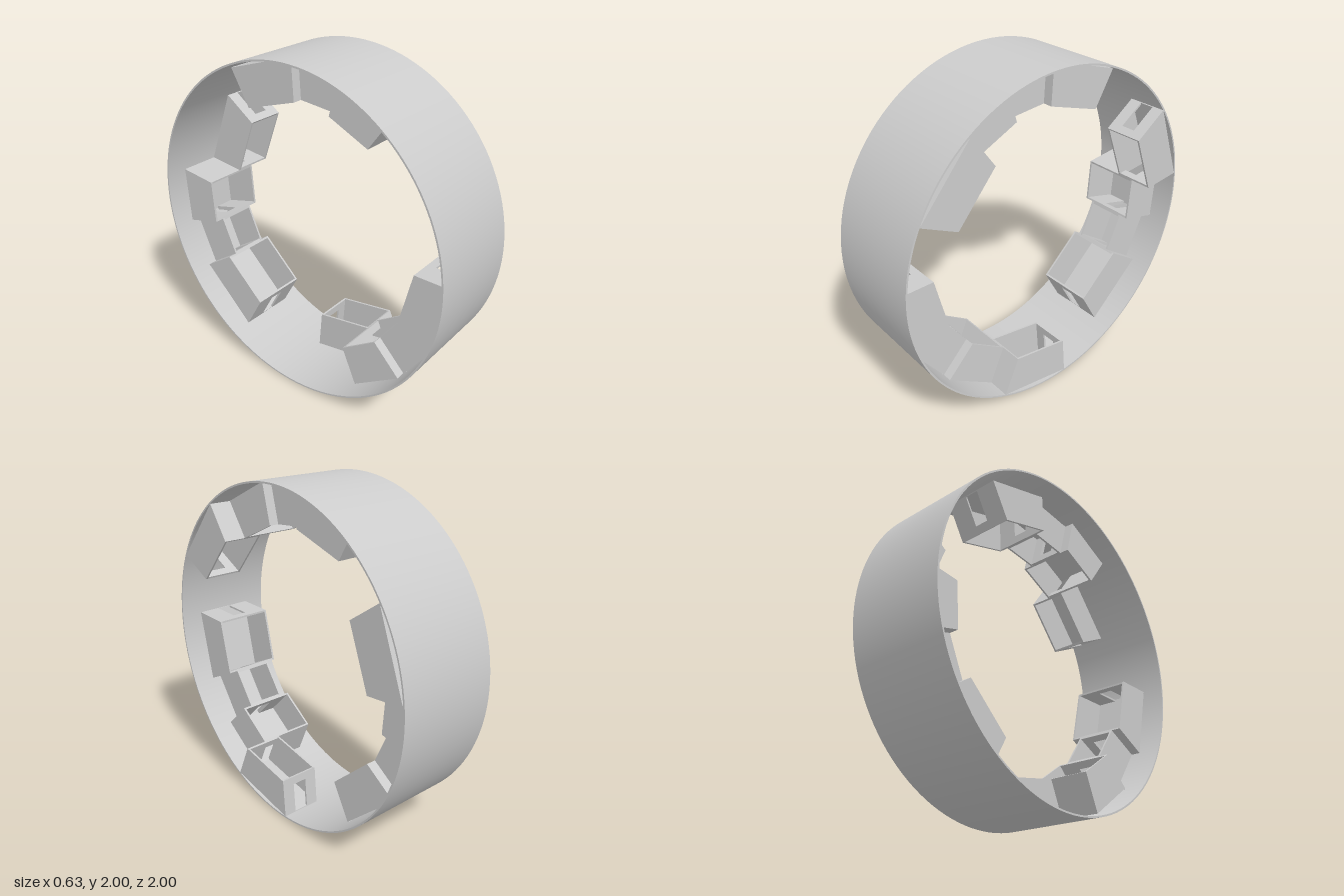
import * as THREE from 'three';
import { mergeGeometries } from 'three/addons/utils/BufferGeometryUtils.js';

const R = 0.99, INNER = 0.75, T = 0.012, HALF = 0.315;
const DOOR_W = 0.09, DOOR_H = 0.19;

// Cabin kinds: extent across the ring
const KINDS = { room: [-0.18, 0.18], corridor: [-0.122, 0.122], offset: [0.07, HALF] };

// Chains of cabins: boundary angles (degrees from +z towards +y) and kinds
const CHAINS = [
  { angles: [26.3, 54.4, 75.4, 93.5, 120.5], kinds: ['offset', 'room', 'corridor', 'room'] },
  { angles: [144.9, 173.9, 194.7, 213.4, 240.8], kinds: ['offset', 'room', 'corridor', 'room'] },
  { angles: [265.4, 293.7, 314.4, 333.3, 360], kinds: ['offset', 'room', 'corridor', 'room'] },
];

const material = new THREE.MeshStandardMaterial({ color: 0xcccccc, side: THREE.DoubleSide });

const poly = (pts) => new THREE.Shape(pts.map(([x, y]) => new THREE.Vector2(x, y)));
const extrude = (shape, depth) => new THREE.ExtrudeGeometry(shape, { depth, bevelEnabled: false });
const polar = (r, a) => [r * Math.cos(a), r * Math.sin(a)];

function part(name, geometry) {
  const mesh = new THREE.Mesh(geometry, material);
  mesh.name = name;
  return mesh;
}

// Trapezoid between two radial cuts, swept across the ring from x0 to x1
function sector(a0, a1, r0, r1, x0, x1) {
  const shape = poly([polar(r0, a0), polar(r1, a0), polar(r1, a1), polar(r0, a1)]);
  return extrude(shape, x1 - x0).translate(0, 0, -x1);
}

// Radial end wall with a doorway open to the floor
function endWall(angle, x0, x1, doorX, shift) {
  const d0 = -doorX - DOOR_W / 2, d1 = -doorX + DOOR_W / 2, top = R - DOOR_H;
  const geometry = extrude(poly([
    [-x1, INNER], [-x0, INNER], [-x0, R], [d1, R], [d1, top], [d0, top], [d0, R], [-x1, R],
  ]), T).translate(0, 0, shift);
  const c = Math.cos(angle), s = Math.sin(angle);
  return geometry.applyMatrix4(new THREE.Matrix4().makeBasis(
    new THREE.Vector3(0, 0, 1), new THREE.Vector3(c, s, 0), new THREE.Vector3(-s, c, 0)));
}

// Cabin without a ceiling: floor, two side walls, two end walls
function cabin(kind, a0, a1, door0, door1) {
  const [x0, x1] = KINDS[kind];
  const group = new THREE.Group();
  group.name = kind + 'Cabin';
  group.add(
    part('floor', sector(a0, a1, R - 0.006, R, x0, x1)),
    part('leftWall', sector(a0, a1, INNER, R, x1 - T, x1)),
    part('rightWall', sector(a0, a1, INNER, R, x0, x0 + T)),
    part('startWall', endWall(a0, x0, x1, door0, 0)),
    part('finishWall', endWall(a1, x0, x1, door1, -T)),
  );
  return group;
}

// Thin outer hull, one lathe per side so its edges stay sharp
function hull() {
  const corners = [[1, -HALF], [1, HALF], [R, HALF], [R, -HALF]].map(([r, y]) => new THREE.Vector2(r, y));
  const sides = corners.map((p, i) => new THREE.LatheGeometry([p, corners[(i + 1) % 4]], 128));
  return part('outerRing', mergeGeometries(sides).rotateZ(Math.PI / 2));
}

export function createModel() {
  const model = new THREE.Group();
  model.name = 'ringHabitat';
  const ring = hull();
  ring.position.y = 1;
  model.add(ring);

  const centre = (kind) => (KINDS[kind][0] + KINDS[kind][1]) / 2;
  // Doorway in the middle of the overlap of two neighbours
  const doorway = (a, b) => {
    if (!a || !b) return centre(a || b);
    const [p, q] = [KINDS[a], KINDS[b]];
    return (Math.max(p[0], q[0]) + Math.min(p[1], q[1])) / 2;
  };

  CHAINS.forEach(({ angles, kinds }, n) => {
    const chain = new THREE.Group();
    chain.name = 'cabinChain' + (n + 1);
    kinds.forEach((kind, i) => {
      const [a0, a1] = [angles[i], angles[i + 1]].map(THREE.MathUtils.degToRad);
      chain.add(cabin(kind, a0, a1, doorway(kinds[i - 1], kind), doorway(kind, kinds[i + 1])));
    });
    // Profiles are drawn in the z-y plane
    chain.rotation.y = -Math.PI / 2;
    chain.position.y = 1;
    model.add(chain);
  });
  return model;
}
